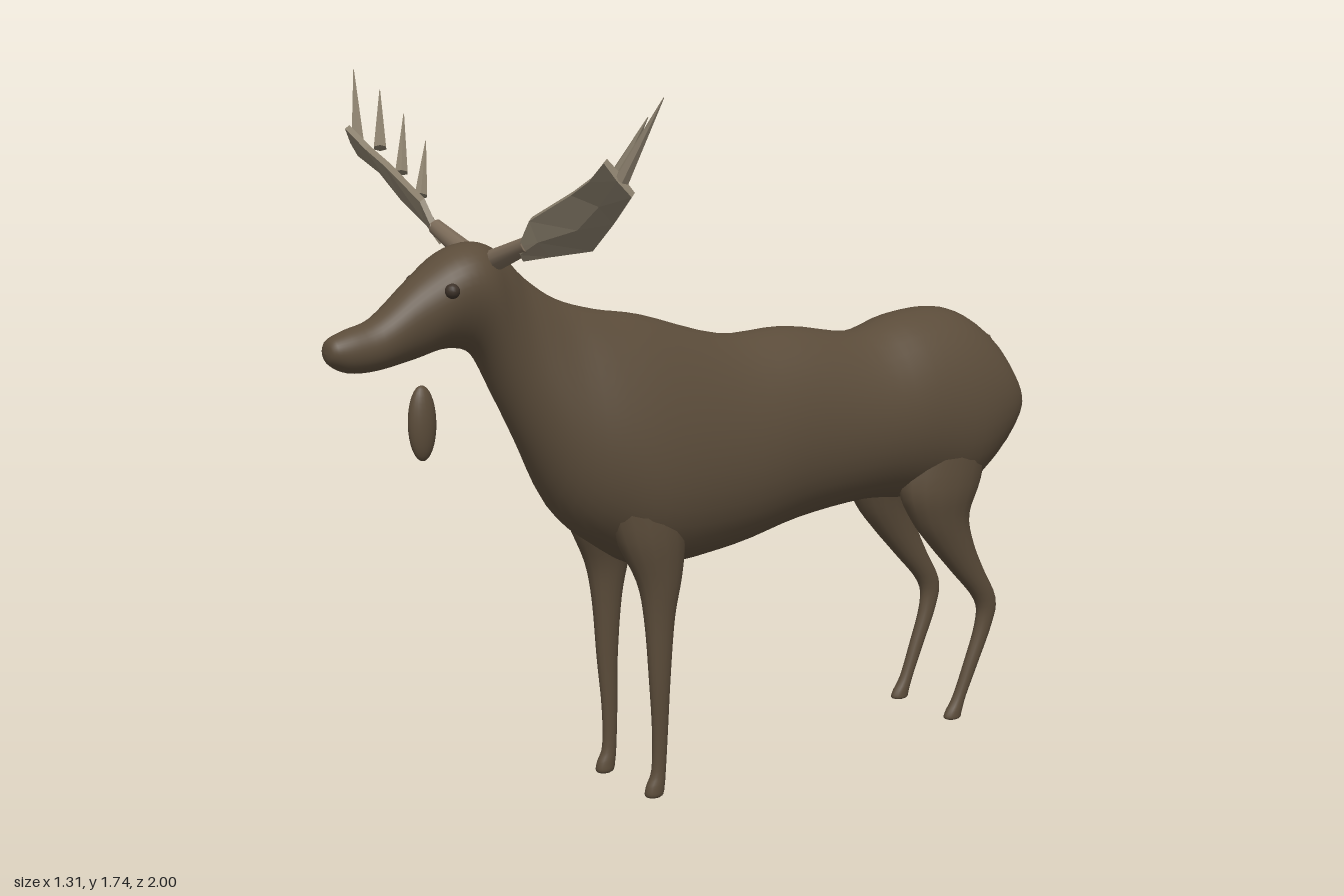
import * as THREE from 'three';

const mat = (name, color, extra = {}) => {
  const m = new THREE.MeshStandardMaterial({ color, ...extra });
  m.name = name;
  return m;
};

// Smooth interpolation through rows of numbers, `sub` steps per row
function refine(rows, sub) {
  const out = [];
  const at = (i) => rows[Math.min(Math.max(i, 0), rows.length - 1)];
  for (let i = 0; i < rows.length - 1; i++) {
    for (let s = 0; s < sub; s++) {
      const t = s / sub;
      out.push(rows[i].map((b, k) => {
        const a = at(i - 1)[k], c = at(i + 1)[k], d = at(i + 2)[k];
        return b + 0.5 * t * (c - a + t * (2 * a - 5 * b + 4 * c - d + t * (3 * (b - c) + d - a)));
      }));
    }
  }
  out.push(rows[rows.length - 1]);
  return out;
}

// Skin over closed rings of points
function loft(rings) {
  const n = rings[0].length, index = [];
  for (let i = 0; i < rings.length - 1; i++) {
    for (let j = 0; j < n; j++) {
      const a = i * n + j, b = i * n + ((j + 1) % n);
      index.push(a, a + n, b, b, a + n, b + n);
    }
  }
  const g = new THREE.BufferGeometry();
  g.setAttribute('position', new THREE.Float32BufferAttribute(rings.flat(2), 3));
  g.setIndex(index);
  g.computeVertexNormals();
  return g;
}

function flat(g) {
  const f = g.toNonIndexed();
  f.computeVertexNormals();
  return f;
}

const circle = (n, fn) => Array.from({ length: n }, (_, j) => fn((j / n) * Math.PI * 2));

// Tapered rod between two points
function rod(a, b, r0, r1, sides) {
  const A = new THREE.Vector3(...a), d = new THREE.Vector3(...b).sub(A);
  const g = new THREE.CylinderGeometry(r1, r0, d.length(), sides);
  g.applyQuaternion(new THREE.Quaternion().setFromUnitVectors(
    new THREE.Vector3(0, 1, 0), d.clone().normalize()));
  g.translate(...A.addScaledVector(d, 0.5).toArray());
  return g;
}

export function createModel() {
  const root = new THREE.Group();
  root.name = 'moose';
  const hide = mat('brown hide', 0x5b4c3a);
  const horn = mat('antler horn', 0x8a7f6c);
  const beamMat = mat('antler stem', 0x7a6a58);
  const dark = mat('dark eye', 0x3c3128);
  const add = (name, geo, material, parent = root) => {
    const m = new THREE.Mesh(geo, material);
    m.name = name;
    parent.add(m);
    return m;
  };

  // Head, neck and torso: z, top, bottom, half width, narrowing towards the top
  const bodyRows = [
    [1.0, 1.165, 1.165, 0.002, 0],
    [0.992, 1.195, 1.14, 0.03, 0],
    [0.95, 1.213, 1.118, 0.045, 0],
    [0.88, 1.235, 1.116, 0.054, 0],
    [0.785, 1.31, 1.132, 0.068, -0.1],
    [0.7, 1.367, 1.148, 0.09, -0.2],
    [0.625, 1.383, 1.12, 0.095, -0.15],
    [0.56, 1.355, 1.0, 0.083, 0],
    [0.5, 1.295, 0.885, 0.088, 0.1],
    [0.41, 1.235, 0.72, 0.125, 0.2],
    [0.3, 1.2, 0.625, 0.165, 0.2],
    [0.17, 1.175, 0.56, 0.184, 0.2],
    [-0.07, 1.105, 0.572, 0.176, 0.12],
    [-0.28, 1.103, 0.61, 0.165, 0.08],
    [-0.49, 1.07, 0.628, 0.175, 0.05],
    [-0.64, 1.103, 0.615, 0.187, 0.05],
    [-0.79, 1.105, 0.595, 0.19, 0.05],
    [-0.9, 1.05, 0.665, 0.172, 0.03],
    [-0.965, 0.96, 0.745, 0.142, 0],
    [-0.995, 0.9, 0.79, 0.1, 0],
    [-1.0, 0.87, 0.81, 0.05, 0],
    [-0.999, 0.84, 0.84, 0.001, 0],
  ];
  const body = loft(refine(bodyRows, 4).map(([z, top, bot, w, egg]) => circle(40, (a) => {
    const x = w * Math.cos(a) * (1 - egg * Math.sin(a));
    const y = (top + bot) / 2 + ((top - bot) / 2) * Math.sin(a);
    // Cleft between the haunches
    const k = THREE.MathUtils.smoothstep(-z, 0.84, 0.98);
    return [x, y, z + 0.04 * k * Math.exp(-((x / 0.04) ** 2))];
  })));
  add('body', body, hide);

  // Legs: y, z, half width in x, half depth in z, x offset
  const frontLeg = [
    [0.78, 0.22, 0.06, 0.12, 0.1], [0.66, 0.21, 0.062, 0.095, 0.103],
    [0.55, 0.193, 0.043, 0.06, 0.112], [0.45, 0.193, 0.031, 0.04, 0.113],
    [0.3, 0.193, 0.023, 0.028, 0.113], [0.17, 0.19, 0.017, 0.021, 0.109],
    [0.07, 0.193, 0.016, 0.019, 0.107], [0.03, 0.203, 0.019, 0.025, 0.107],
    [0.006, 0.207, 0.018, 0.023, 0.107], [0, 0.207, 0.001, 0.001, 0.107],
  ];
  const hindLeg = [
    [0.8, -0.74, 0.07, 0.14, 0.1], [0.66, -0.71, 0.068, 0.13, 0.108],
    [0.57, -0.71, 0.052, 0.092, 0.112], [0.49, -0.752, 0.04, 0.068, 0.113],
    [0.41, -0.81, 0.031, 0.05, 0.113], [0.32, -0.876, 0.024, 0.034, 0.113],
    [0.25, -0.875, 0.02, 0.026, 0.111], [0.14, -0.832, 0.017, 0.021, 0.109],
    [0.06, -0.798, 0.016, 0.019, 0.107], [0.02, -0.778, 0.018, 0.026, 0.107],
    [0.004, -0.774, 0.017, 0.024, 0.107], [0, -0.774, 0.001, 0.001, 0.107],
  ];
  const legs = { frontLeg, hindLeg };
  for (const s of [1, -1]) {
    const side = s > 0 ? 'Left' : 'Right';
    for (const [name, rows] of Object.entries(legs)) {
      const rings = refine(rows, 4).map(([y, z, rx, rz, x]) => circle(16, (a) =>
        [s * x + rx * Math.cos(a), Math.max(y, 0), z - rz * Math.sin(a)]));
      add(name + side, loft(rings), hide);
    }

    // Eye
    add('eye' + side, new THREE.SphereGeometry(0.017, 14, 10), dark).position.set(s * 0.088, 1.29, 0.73);

    // Antler: stem, faceted palm and a row of tines
    const antler = new THREE.Group();
    antler.name = 'antler' + side;
    root.add(antler);
    const m = ([x, y, z]) => [s * x, y, z];
    add('stem', rod(m([0.04, 1.34, 0.6]), m([0.2, 1.395, 0.603]), 0.026, 0.019, 10), beamMat, antler);

    // Palm stations: upper front edge, lower back edge, depth of the hollow
    const stations = [
      [[0.185, 1.395, 0.615], [0.18, 1.36, 0.6], 0],
      [[0.235, 1.455, 0.618], [0.25, 1.375, 0.572], 0.008],
      [[0.4, 1.525, 0.617], [0.35, 1.395, 0.53], 0.018],
      [[0.48, 1.56, 0.625], [0.46, 1.465, 0.55], 0.008],
      [[0.555, 1.605, 0.638], [0.585, 1.535, 0.59], 0],
    ];
    const normal = [-0.27, 0.6, -0.75];
    const off = (p, d) => p.map((v, k) => v + normal[k] * d);
    const rings = stations.map(([f, b, dip]) => {
      const c = f.map((v, k) => (v + b[k]) / 2);
      return [off(f, 0.007), off(c, 0.01 - dip), off(b, 0.007),
        off(b, -0.007), off(c, -0.01 - dip), off(f, -0.007)];
    });
    const mid = ([f, b]) => Array(6).fill(f.map((v, k) => (v + b[k]) / 2));
    rings.unshift(mid(stations[0]));
    rings.push(mid(stations[4]));
    const sided = rings.map((r) => (s > 0 ? r : [...r].reverse()).map(m));
    add('palm', flat(loft(sided)), horn, antler);

    const tines = [
      [[0.36, 1.45, 0.55], [0.41, 1.575, 0.505]],
      [[0.43, 1.5, 0.562], [0.487, 1.635, 0.52]],
      [[0.5, 1.555, 0.58], [0.567, 1.69, 0.54]],
      [[0.565, 1.565, 0.605], [0.655, 1.735, 0.563]],
    ];
    for (const [a, b] of tines) {
      add('tine', flat(rod(m(a), m(b), 0.017, 0.001, 6)), horn, antler);
    }
  }

  // Dewlap and tail
  const bell = add('dewlap', new THREE.SphereGeometry(1, 20, 16), hide);
  bell.scale.set(0.025, 0.087, 0.034);
  bell.position.set(0, 0.983, 0.765);
  const tail = add('tail', new THREE.SphereGeometry(1, 12, 10), hide);
  tail.scale.set(0.011, 0.028, 0.011);
  tail.position.set(0, 0.985, -0.968);
  tail.rotation.x = -0.2;

  return root;
}
